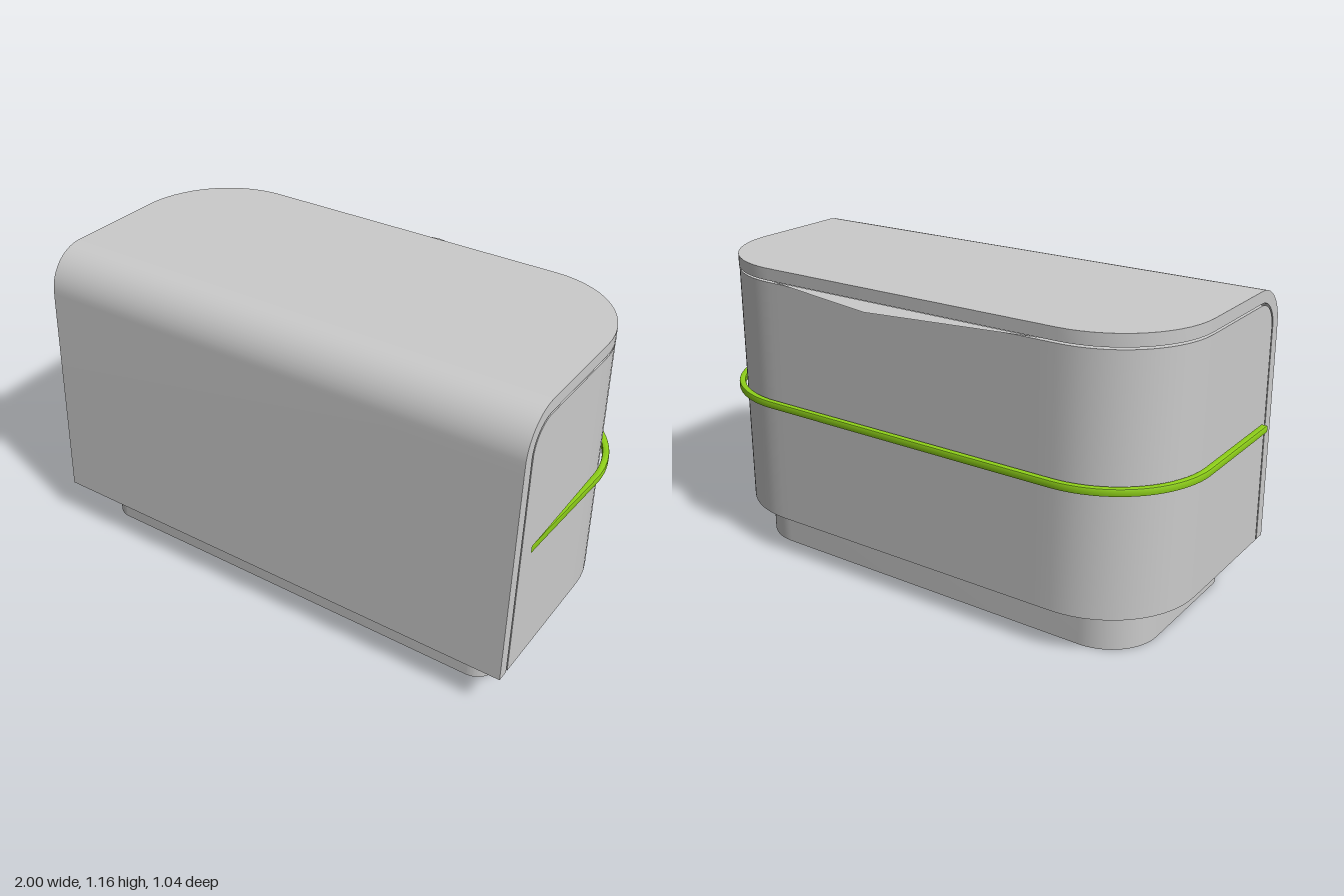
import * as THREE from 'three';
import { toCreasedNormals } from 'three/addons/utils/BufferGeometryUtils.js';

const HALF = 0.97, BACK = -0.42, R = 0.36;   // plan of the housing
const CZ = 0.325, CY = 1.0;                  // centre of the front top bend
const STEPS = 14;

// Joins equal-length rings into a closed skin with fan caps at both ends
function loft(rings) {
  const n = rings[0].length, pos = [], idx = [];
  rings.forEach(r => r.forEach(p => pos.push(...p)));
  for (let i = 0; i < rings.length - 1; i++) {
    for (let j = 0; j < n; j++) {
      const a = i * n + j, b = i * n + (j + 1) % n;
      idx.push(a, b, b + n, a, b + n, a + n);
    }
  }
  const last = (rings.length - 1) * n;
  for (let j = 1; j < n - 1; j++) {
    idx.push(0, j + 1, j, last, last + j, last + j + 1);
  }
  const g = new THREE.BufferGeometry();
  g.setAttribute('position', new THREE.Float32BufferAttribute(pos, 3));
  g.setIndex(idx);
  return toCreasedNormals(g, 0.5);
}

// Horizontal outline with a straight front and two large back corners
function outline(y, front, inset = 0) {
  const w = HALF - inset, r = R - inset, half = [[w, front], [w, 0]];
  for (let i = 0; i <= STEPS; i++) {
    const a = i / STEPS * Math.PI / 2;
    half.push([HALF - R + r * Math.cos(a), BACK + R - r * Math.sin(a)]);
  }
  half.push([0.55, BACK + inset]);
  const all = [...half, ...half.slice().reverse().map(([x, z]) => [-x, z])];
  return all.map(([x, z]) => [x, y, z]);
}

function bodyGeometry() {
  const rings = [outline(0.175, 0.435, 0.03), outline(0.16, 0.435, 0.03),
    outline(0.16, 0.467), outline(0.97, 0.434)];
  for (let i = 0; i <= STEPS; i++) {
    const a = i / STEPS * Math.PI / 2;
    rings.push(outline(CY + 0.107 * Math.sin(a), CZ + 0.107 * Math.cos(a)));
  }
  return loft(rings);
}

// Bent sheet: up the front, over the bend, back along the top
function coverGeometry() {
  const ring = (w, yo, zo, yi, zi) =>
    [[-w, yo, zo], [w, yo, zo], [w, yi, zi], [-w, yi, zi]];
  const rings = [ring(HALF, 0.16, 0.52, 0.16, 0.475), ring(HALF, 0.97, 0.484, 0.97, 0.441)];
  for (let i = 0; i <= STEPS; i++) {
    const a = i / STEPS * Math.PI / 2, c = Math.cos(a), s = Math.sin(a);
    rings.push(ring(HALF, CY + 0.16 * s, CZ + 0.157 * c, CY + 0.115 * s, CZ + 0.115 * c));
  }
  rings.push(ring(HALF, 1.16, 0.29, 1.115, 0.29), ring(HALF, 1.16, 0, 1.115, 0));
  for (let i = 0; i <= STEPS; i++) {
    const a = i / STEPS * Math.PI / 2, z = BACK + R - (R + 0.003) * Math.sin(a);
    rings.push(ring(HALF - R + R * Math.cos(a), 1.16, z, 1.115, z));
  }
  return loft(rings);
}

// Plan path (drawn with -z as y) with separate front and back radii
function roundedPlan(path, w, zFront, zBack, rf, rb) {
  const f = -zFront, b = -zBack;
  path.moveTo(-w + rf, f);
  path.lineTo(w - rf, f);
  path.absarc(w - rf, f + rf, rf, -Math.PI / 2, 0, false);
  path.absarc(w - rb, b - rb, rb, 0, Math.PI / 2, false);
  path.absarc(-w + rb, b - rb, rb, Math.PI / 2, Math.PI, false);
  path.absarc(-w + rf, f + rf, rf, Math.PI, Math.PI * 1.5, false);
  return path;
}

function baseGeometry() {
  const shape = roundedPlan(new THREE.Shape(), 0.87, 0.417, -0.322, 0.08, 0.2);
  shape.holes.push(roundedPlan(new THREE.Path(), 0.835, 0.382, -0.287, 0.045, 0.165));
  const g = new THREE.ExtrudeGeometry(shape, { depth: 0.175, bevelEnabled: false, curveSegments: 12 });
  return toCreasedNormals(g.rotateX(-Math.PI / 2), 0.5);
}

// Open band wrapped around the sides and back
function bandGeometry() {
  const bevel = 0.005, cx = HALF - R, cy = -(BACK + R);
  const ro = R + 0.031 - bevel, ri = R + 0.007 + bevel, end = -0.4 + bevel;
  const s = new THREE.Shape();
  s.moveTo(cx + ro, end);
  s.absarc(cx, cy, ro, 0, Math.PI / 2, false);
  s.absarc(-cx, cy, ro, Math.PI / 2, Math.PI, false);
  s.lineTo(-cx - ro, end);
  s.lineTo(-cx - ri, end);
  s.absarc(-cx, cy, ri, Math.PI, Math.PI / 2, true);
  s.absarc(cx, cy, ri, Math.PI / 2, 0, true);
  s.lineTo(cx + ri, end);
  const g = new THREE.ExtrudeGeometry(s, {
    depth: 0.018, bevelSize: bevel, bevelThickness: bevel, bevelSegments: 2, curveSegments: 16
  });
  return toCreasedNormals(g.rotateX(-Math.PI / 2).translate(0, 0.631, 0), 0.5);
}

// Thin pointed lip under the back edge of the cover
function lipGeometry() {
  const s = new THREE.Shape([[-0.55, 0.415], [0.6, 0.415], [0.08, 0.52]]
    .map(p => new THREE.Vector2(...p)));
  return new THREE.ShapeGeometry(s).rotateX(-Math.PI / 2).translate(0, 1.111, 0);
}

export function createModel() {
  const grey = new THREE.MeshStandardMaterial({ color: 0xcbcbcb });
  grey.name = 'light grey';
  grey.side = THREE.DoubleSide;
  const green = new THREE.MeshStandardMaterial({ color: 0x8fd119 });
  green.name = 'lime green';

  const model = new THREE.Group();
  model.name = 'container';
  const add = (name, geometry, material) => {
    const mesh = new THREE.Mesh(geometry, material);
    mesh.name = name;
    model.add(mesh);
  };
  add('body', bodyGeometry(), grey);
  add('cover', coverGeometry(), grey);
  add('base', baseGeometry(), grey);
  add('backLip', lipGeometry(), grey);
  add('band', bandGeometry(), green);
  return model;
}
